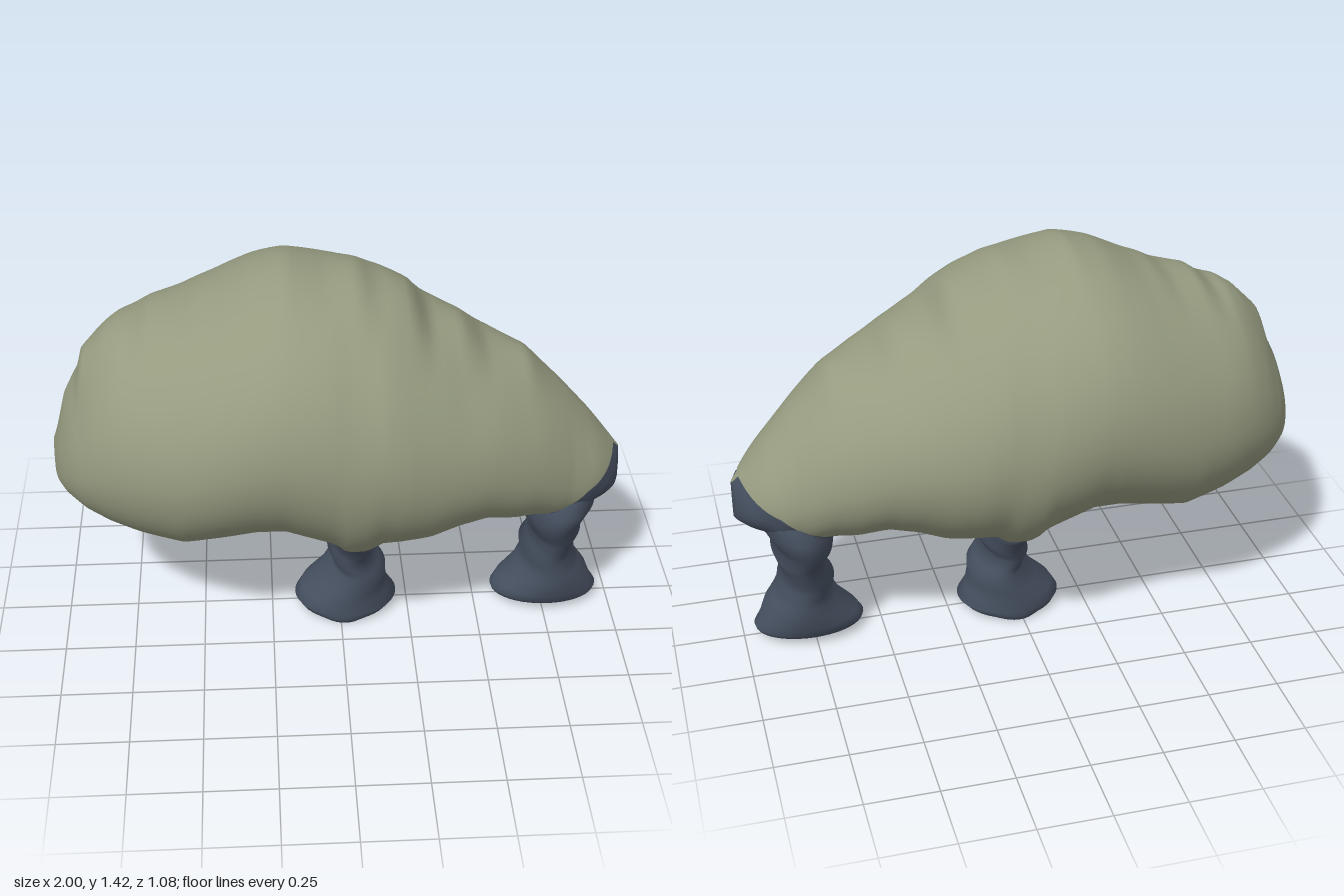
import * as THREE from 'three';

// Linear lookup in a list of [key, value] points
function lookup(points, x) {
  for (let i = 1; i < points.length; i++) {
    const [x0, y0] = points[i - 1], [x1, y1] = points[i];
    if (x <= x1) return y0 + (y1 - y0) * Math.max(0, (x - x0) / (x1 - x0));
  }
  return points[points.length - 1][1];
}

// Joins closed rings of points; quads with ring index below `split` go into the first group
function loft(rings, split) {
  const n = rings[0].length, first = [], second = [];
  for (let i = 0; i < rings.length - 1; i++) {
    for (let j = 0; j < n; j++) {
      const k = (j + 1) % n;
      const a = i * n + j, b = (i + 1) * n + j, c = (i + 1) * n + k, d = i * n + k;
      (j < split ? first : second).push(a, b, c, a, c, d);
    }
  }
  const geometry = new THREE.BufferGeometry();
  geometry.setAttribute('position', new THREE.Float32BufferAttribute(rings.flat(2), 3));
  geometry.setIndex([...first, ...second]);
  geometry.addGroup(0, first.length, 0);
  geometry.addGroup(first.length, second.length, 1);
  geometry.computeVertexNormals();
  return geometry;
}

// Body outline: bumpy crest, underside, edge of the dark belly, and fullness in depth
const crest = [[-1, 0.75], [-0.985, 0.79], [-0.95, 0.93], [-0.9, 1.02], [-0.88, 1.1], [-0.8, 1.18],
  [-0.75, 1.21], [-0.7, 1.215], [-0.64, 1.26], [-0.54, 1.275], [-0.48, 1.31], [-0.42, 1.33], [-0.3, 1.39],
  [-0.18, 1.42], [-0.05, 1.385], [0.06, 1.38], [0.12, 1.34], [0.18, 1.325], [0.24, 1.3], [0.3, 1.21],
  [0.42, 1.18], [0.5, 1.1], [0.65, 1.05], [0.72, 0.97], [0.8, 0.89], [0.88, 0.8], [0.95, 0.71], [1, 0.65]];
const underside = [[-1, 0.62], [-0.95, 0.57], [-0.88, 0.52], [-0.8, 0.48], [-0.7, 0.445], [-0.55, 0.41],
  [-0.45, 0.43], [-0.3, 0.46], [-0.2, 0.46], [-0.1, 0.42], [-0.03, 0.39], [0.01, 0.35], [0.08, 0.35],
  [0.13, 0.385], [0.3, 0.4], [0.4, 0.44], [0.5, 0.46], [0.6, 0.44], [0.68, 0.44], [0.75, 0.42],
  [0.85, 0.42], [0.9, 0.47], [1, 0.51]];
const bellyEdge = [[-1, 0.66], [-0.95, 0.6], [-0.9, 0.54], [-0.8, 0.5], [-0.7, 0.47], [-0.55, 0.435],
  [-0.45, 0.445], [-0.3, 0.468], [-0.2, 0.47], [-0.1, 0.43], [0, 0.395], [0.15, 0.395], [0.3, 0.415],
  [0.4, 0.46], [0.5, 0.475], [0.6, 0.48], [0.7, 0.505], [0.8, 0.55], [0.86, 0.6], [1, 0.65]];
const fullness = [[-1, 0.63], [-0.6, 0.575], [-0.12, 0.542], [0.2, 0.515], [0.6, 0.437], [0.8, 0.4], [1, 0.45]];

// Crest with its bumps averaged away, used for the flanks
function smoothCrest(x) {
  const reach = Math.min(0.12, 1 - Math.abs(x));
  let sum = 0;
  for (let k = -6; k <= 6; k++) sum += lookup(crest, x + (reach * k) / 6);
  return sum / 13;
}

function bodyGeometry() {
  const steps = 140, bellyCount = 12, shellCount = 60, rings = [];
  for (let i = 0; i <= steps; i++) {
    const t = (Math.PI * i) / steps;
    const x = -Math.cos(t);
    const width = Math.sin(t) * lookup(fullness, x);
    const top = lookup(crest, x), soft = smoothCrest(x), bottom = lookup(underside, x);
    const middle = (soft + bottom) / 2 - 0.02;
    const cosine = (middle - lookup(bellyEdge, x)) / (middle - bottom);
    const edge = Math.acos(THREE.MathUtils.clamp(cosine, -0.98, 0.998));
    const ring = [];
    for (let j = 0; j < bellyCount + shellCount; j++) {
      const angle = j < bellyCount
        ? -edge + (2 * edge * j) / bellyCount
        : edge + ((2 * Math.PI - 2 * edge) * (j - bellyCount)) / shellCount;
      const c = Math.cos(angle);
      const rise = soft - middle + (top - soft) * Math.pow(c, 8);
      const y = middle - c * (c > 0 ? middle - bottom : rise);
      ring.push([x, y, width * Math.sin(angle)]);
    }
    rings.push(ring);
  }
  return loft(rings, bellyCount);
}

// Leg from rows of [height, left edge, right edge, half depth], closed underneath
function legGeometry(rows) {
  const sides = 40;
  const [y, x0, x1, depth] = rows[0];
  const mid = (x0 + x1) / 2, half = (x1 - x0) / 2;
  const sole = [0, 0.9].map((s) => [y, mid - half * s, mid + half * s, depth * s]);
  const rings = [...sole, ...rows].map(([h, a, b, d]) =>
    Array.from({ length: sides }, (_, j) => {
      const angle = (2 * Math.PI * j) / sides;
      return [(a + b) / 2 + ((b - a) / 2) * Math.cos(angle), h, d * Math.sin(angle)];
    }));
  return loft(rings, sides);
}

const middleLegRows = [[0.003, -0.1, 0.13, 0.155], [0.02, -0.15, 0.19, 0.16], [0.04, -0.165, 0.21, 0.16],
  [0.08, -0.14, 0.18, 0.16], [0.13, -0.08, 0.17, 0.16], [0.17, -0.055, 0.17, 0.16],
  [0.2, -0.03, 0.145, 0.157], [0.22, -0.022, 0.13, 0.157], [0.26, -0.045, 0.115, 0.16],
  [0.29, -0.03, 0.13, 0.17], [0.32, -0.035, 0.14, 0.185], [0.36, -0.04, 0.13, 0.205],
  [0.395, -0.055, 0.14, 0.235], [0.5, -0.05, 0.14, 0.22]];
const endLegRows = [[0.017, 0.6, 0.92, 0.09], [0.035, 0.57, 0.955, 0.12], [0.05, 0.565, 0.96, 0.13],
  [0.08, 0.585, 0.94, 0.142], [0.13, 0.64, 0.92, 0.15], [0.17, 0.66, 0.89, 0.15],
  [0.2, 0.69, 0.87, 0.152], [0.24, 0.665, 0.865, 0.155], [0.27, 0.695, 0.85, 0.162],
  [0.33, 0.695, 0.87, 0.18], [0.36, 0.685, 0.88, 0.195], [0.4, 0.665, 0.87, 0.215],
  [0.44, 0.66, 0.89, 0.235], [0.5, 0.66, 0.92, 0.25], [0.56, 0.68, 0.93, 0.22]];

export function createModel() {
  const olive = new THREE.MeshStandardMaterial({ color: 0x969b80 });
  olive.name = 'olive';
  const slate = new THREE.MeshStandardMaterial({ color: 0x465060 });
  slate.name = 'slate';

  const model = new THREE.Group();
  const add = (name, geometry, material) => {
    const mesh = new THREE.Mesh(geometry, material);
    mesh.name = name;
    model.add(mesh);
  };
  add('body', bodyGeometry(), [slate, olive]);
  add('middleLeg', legGeometry(middleLegRows), slate);
  add('endLeg', legGeometry(endLegRows), slate);
  return model;
}
